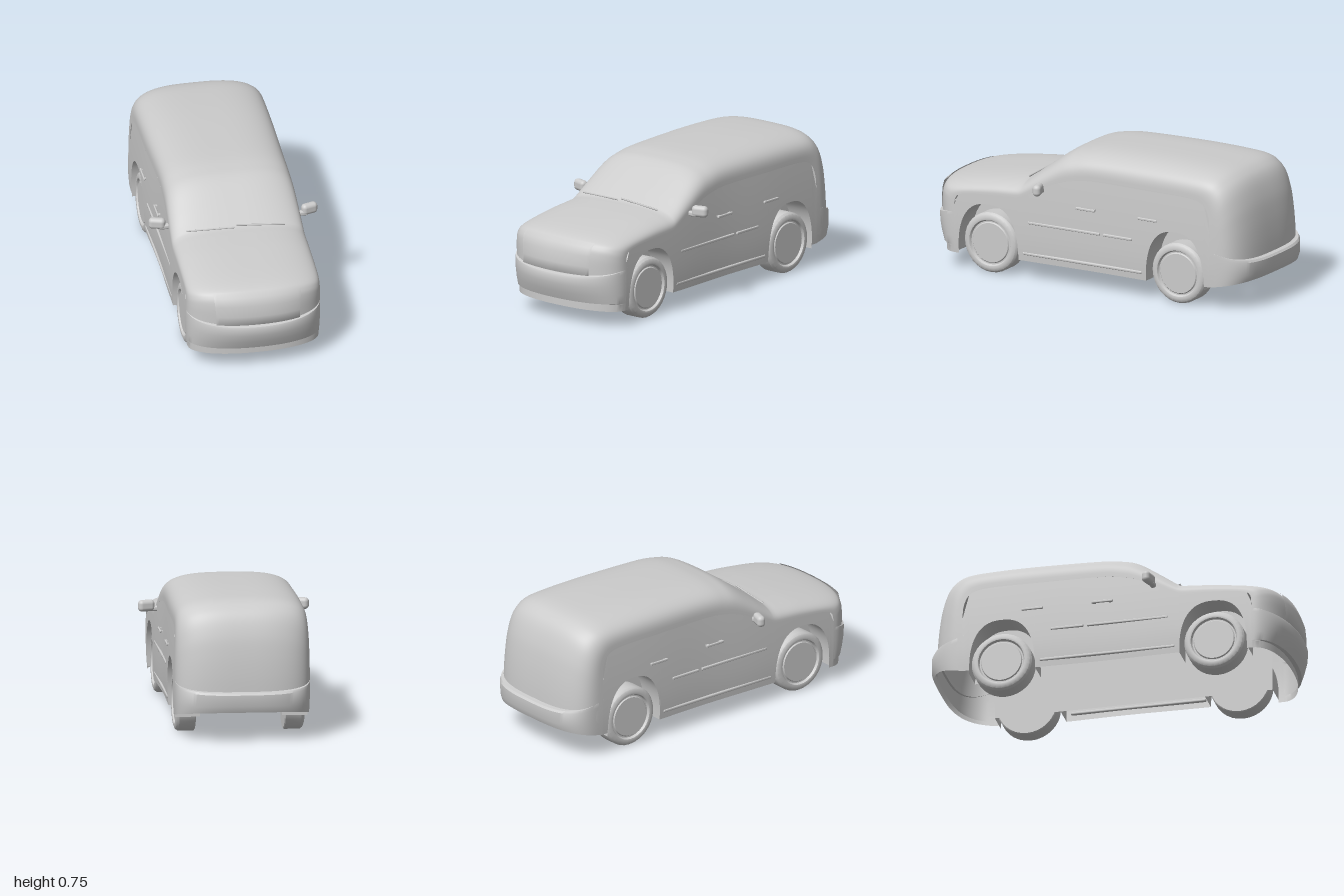
import * as THREE from 'three';
import { toCreasedNormals } from 'three/addons/utils/BufferGeometryUtils.js';
import { RoundedBoxGeometry } from 'three/addons/geometries/RoundedBoxGeometry.js';

const solid = new THREE.MeshStandardMaterial({ color: 0xcccccc });
const sheet = new THREE.MeshStandardMaterial({ color: 0xcccccc, side: THREE.DoubleSide });

// Surface from a rule fn(i, j) -> [x, y, z]
function grid(nu, nv, fn) {
  const pos = [], idx = [];
  for (let j = 0; j <= nv; j++) for (let i = 0; i <= nu; i++) pos.push(...fn(i, j));
  for (let j = 0; j < nv; j++) for (let i = 0; i < nu; i++) {
    const a = j * (nu + 1) + i, b = a + 1, c = a + nu + 1, d = c + 1;
    idx.push(a, b, d, a, d, c);
  }
  const g = new THREE.BufferGeometry();
  g.setAttribute('position', new THREE.Float32BufferAttribute(pos, 3));
  g.setIndex(idx);
  g.computeVertexNormals();
  return g;
}

// Half width of the body side at a height and length
function sideX(y, z) {
  const k = y < 0.27 ? 0.25 : 0.09;
  return 0.362 - k * (y - 0.27) ** 2 - 0.008 * Math.exp(-(((z + 0.05) / 0.28) ** 2));
}

// Point on a rounded cross-section running from the left side over the centreline to the right.
// row = [centre z, centre y, edge z, edge y, squareness]
function sectionPoint([cz, cy, ez, ey, n], angle) {
  const s = Math.sin(angle), c = Math.max(0, Math.cos(angle)) ** (2 / n);
  const x = Math.sign(s) * Math.abs(s) ** (2 / n) * sideX(ey, ez);
  return [x, ey + (cy - ey) * c, ez + (cz - ez) * c];
}
function loft(rows, span = Math.PI / 2, nu = 56) {
  return grid(nu, rows.length - 1, (i, j) => sectionPoint(rows[j], (2 * i / nu - 1) * span));
}

// Nose, bonnet, windscreen, roof and tail
const bodyRows = [
  [0.95, 0.15, 0.80, 0.12, 2.2], [0.97, 0.25, 0.80, 0.22, 2.2], [0.975, 0.33, 0.80, 0.30, 2.2],
  [0.968, 0.40, 0.80, 0.355, 2.3], [0.95, 0.445, 0.795, 0.39, 2.4], [0.91, 0.475, 0.77, 0.415, 2.5],
  [0.80, 0.50, 0.70, 0.43, 2.6], [0.60, 0.527, 0.56, 0.44, 2.8], [0.47, 0.54, 0.46, 0.445, 2.8],
  [0.405, 0.547, 0.41, 0.45, 2.8], [0.37, 0.568, 0.37, 0.465, 2.8], [0.28, 0.635, 0.28, 0.51, 2.9],
  [0.17, 0.71, 0.17, 0.56, 3], [0.09, 0.735, 0.08, 0.585, 3.1], [-0.05, 0.75, -0.05, 0.60, 3.2],
  [-0.40, 0.756, -0.40, 0.60, 3.2], [-0.65, 0.75, -0.60, 0.60, 3.2], [-0.78, 0.738, -0.70, 0.59, 3.2],
  [-0.85, 0.71, -0.75, 0.56, 3], [-0.895, 0.66, -0.775, 0.50, 3], [-0.93, 0.57, -0.78, 0.43, 3],
  [-0.95, 0.47, -0.78, 0.36, 3], [-0.962, 0.36, -0.78, 0.30, 3], [-0.967, 0.25, -0.78, 0.22, 3],
  [-0.967, 0.18, -0.78, 0.15, 3],
];
function smoothRows(rows, count) {
  const curve = (f) => new THREE.CatmullRomCurve3(rows.map(f), false, 'catmullrom', 0.5);
  const centre = curve((r) => new THREE.Vector3(r[0], r[1], r[4]));
  const edge = curve((r) => new THREE.Vector3(r[2], r[3], 0));
  return Array.from({ length: count + 1 }, (_, i) => {
    const c = centre.getPoint(i / count), e = edge.getPoint(i / count);
    return [c.x, c.y, e.x, e.y, c.z];
  });
}

// Wheel arches and the lower edge of the side
const arches = [{ z: 0.59, half: 0.185, top: 0.385 }, { z: -0.565, half: 0.18, top: 0.40 }];
function lowerEdge(z) {
  for (const a of arches) {
    const d = Math.abs(z - a.z) / a.half;
    if (d < 1) return 0.105 + (a.top - 0.105) * (1 - d ** 2.5) ** (1 / 2.5);
  }
  return z > 0.7 ? 0.09 : z < -0.7 ? 0.125 : 0.105;
}
const archStations = (a) => Array.from({ length: 33 }, (_, i) => a.z + a.half * Math.cos(Math.PI * i / 32));

export function createModel() {
  const car = new THREE.Group();
  car.name = 'car';
  const add = (name, geo, mat = solid, parent = car) => {
    const m = new THREE.Mesh(geo, mat);
    m.name = name;
    parent.add(m);
    return m;
  };

  const rows = smoothRows(bodyRows, 144);
  add('bodyShell', loft(rows), sheet);

  // Bumpers
  add('frontBumper', toCreasedNormals(loft([
    [0.94, 0.09, 0.80, 0.09, 2.2], [0.94, 0.13, 0.80, 0.13, 2.2], [0.962, 0.134, 0.80, 0.134, 2.2],
    [0.982, 0.18, 0.80, 0.18, 2.2], [0.996, 0.225, 0.80, 0.24, 2.2], [1.0, 0.265, 0.80, 0.30, 2.2],
    [0.995, 0.277, 0.80, 0.32, 2.2], [0.965, 0.285, 0.79, 0.328, 2.2],
  ]), 0.6), sheet);
  add('rearBumper', toCreasedNormals(loft([
    [-0.955, 0.275, -0.77, 0.33, 3], [-0.99, 0.27, -0.78, 0.325, 3], [-1.0, 0.26, -0.78, 0.30, 3],
    [-1.0, 0.20, -0.78, 0.18, 3], [-0.985, 0.165, -0.78, 0.125, 3],
  ]), 0.6), sheet);

  // Raised nose panel
  add('grillePanel', loft([
    [0.965, 0.285, 0.80, 0.285, 2.2], [0.99, 0.29, 0.80, 0.29, 2.2], [0.991, 0.34, 0.80, 0.33, 2.2],
    [0.983, 0.40, 0.80, 0.37, 2.3], [0.966, 0.445, 0.795, 0.41, 2.4], [0.935, 0.468, 0.79, 0.43, 2.4],
  ], 0.64, 24), sheet);

  // Wipers
  [[-0.28, 0.543, 0.385, -0.02, 0.553, 0.41], [-0.01, 0.557, 0.395, 0.25, 0.541, 0.405]].forEach((p) => {
    const line = new THREE.LineCurve3(new THREE.Vector3(...p.slice(0, 3)), new THREE.Vector3(...p.slice(3)));
    add('wiper', new THREE.TubeGeometry(line, 1, 0.005, 6));
  });

  // Shared geometry of the sides
  const stations = [0.80, 0.7755, ...archStations(arches[0])];
  for (let i = 0; i <= 20; i++) stations.push(0.4045 - 0.789 * i / 20);
  stations.push(...archStations(arches[1]), -0.7455, -0.78);
  const upperEdge = stations.map((z) => {
    let y = 0;
    for (let i = 1; i < rows.length; i++) {
      const [, , z0, y0] = rows[i - 1], [, , z1, y1] = rows[i];
      if ((z0 - z) * (z1 - z) <= 0 && z0 !== z1) y = Math.max(y, y0 + (y1 - y0) * (z - z0) / (z1 - z0));
    }
    return y || 0.36;
  });
  const sideGeo = grid(stations.length - 1, 16, (i, j) => {
    const z = stations[i], y0 = lowerEdge(z), y = y0 + (upperEdge[i] - y0) * j / 16;
    return [sideX(y, z), y, z];
  });
  const wellX = 0.22;
  const wheelGeo = toCreasedNormals(new THREE.LatheGeometry([
    [0, 0], [0.16, 0], [0.165, 0.005], [0.165, 0.088], [0.156, 0.101], [0.138, 0.108], [0.127, 0.106],
    [0.12, 0.094], [0.113, 0.094], [0.108, 0.1], [0, 0.1],
  ].map((p) => new THREE.Vector2(...p)), 32), 0.6);

  for (const s of [1, -1]) {
    const side = new THREE.Group();
    side.name = s > 0 ? 'leftSide' : 'rightSide';
    side.scale.x = s;
    car.add(side);
    const put = (name, geo, x, y, z, mat = solid) => {
      const m = add(name, geo, mat, side);
      m.position.set(x, y, z);
      return m;
    };
    put('sidePanel', sideGeo, 0, 0, 0, sheet);

    // Wheel wells
    for (const a of arches) {
      const zs = archStations(a);
      put('wheelWell', grid(zs.length - 1, 1, (i, j) => {
        const y = lowerEdge(zs[i]);
        return [j ? wellX : sideX(y, zs[i]), y, zs[i]];
      }), 0, 0, 0, sheet);
    }
    put('innerPanel', new THREE.PlaneGeometry(1.52, 0.3), wellX, 0.255, 0.015, sheet).rotation.y = Math.PI / 2;

    // Wheels
    for (const z of [0.59, -0.573]) put('wheel', wheelGeo, 0.237, 0.168, z).rotation.z = -Math.PI / 2;

    // Mirror
    put('mirrorArm', new RoundedBoxGeometry(0.07, 0.028, 0.03, 3, 0.01), 0.368, 0.513, 0.262);
    put('mirrorHead', new RoundedBoxGeometry(0.09, 0.062, 0.045, 4, 0.021), 0.412, 0.53, 0.25).rotation.y = 0.3;

    // Door handles
    for (const z of [-0.015, -0.398]) {
      put('doorHandle', new RoundedBoxGeometry(0.01, 0.014, 0.118, 2, 0.0045), 0.366, 0.446, z);
      for (const d of [-0.045, 0.045]) put('handleMount', new THREE.BoxGeometry(0.025, 0.01, 0.018), 0.353, 0.446, z + d);
    }

    // Side mouldings and sill
    for (const [z0, z1] of [[0.345, -0.10], [-0.12, -0.30]]) {
      put('sideMoulding', new RoundedBoxGeometry(0.014, 0.015, z0 - z1, 2, 0.005), 0.356, 0.32, (z0 + z1) / 2);
    }
    put('sillStep', new RoundedBoxGeometry(0.02, 0.017, 0.74, 2, 0.007), 0.35, 0.146, 0.01);
  }
  return car;
}
